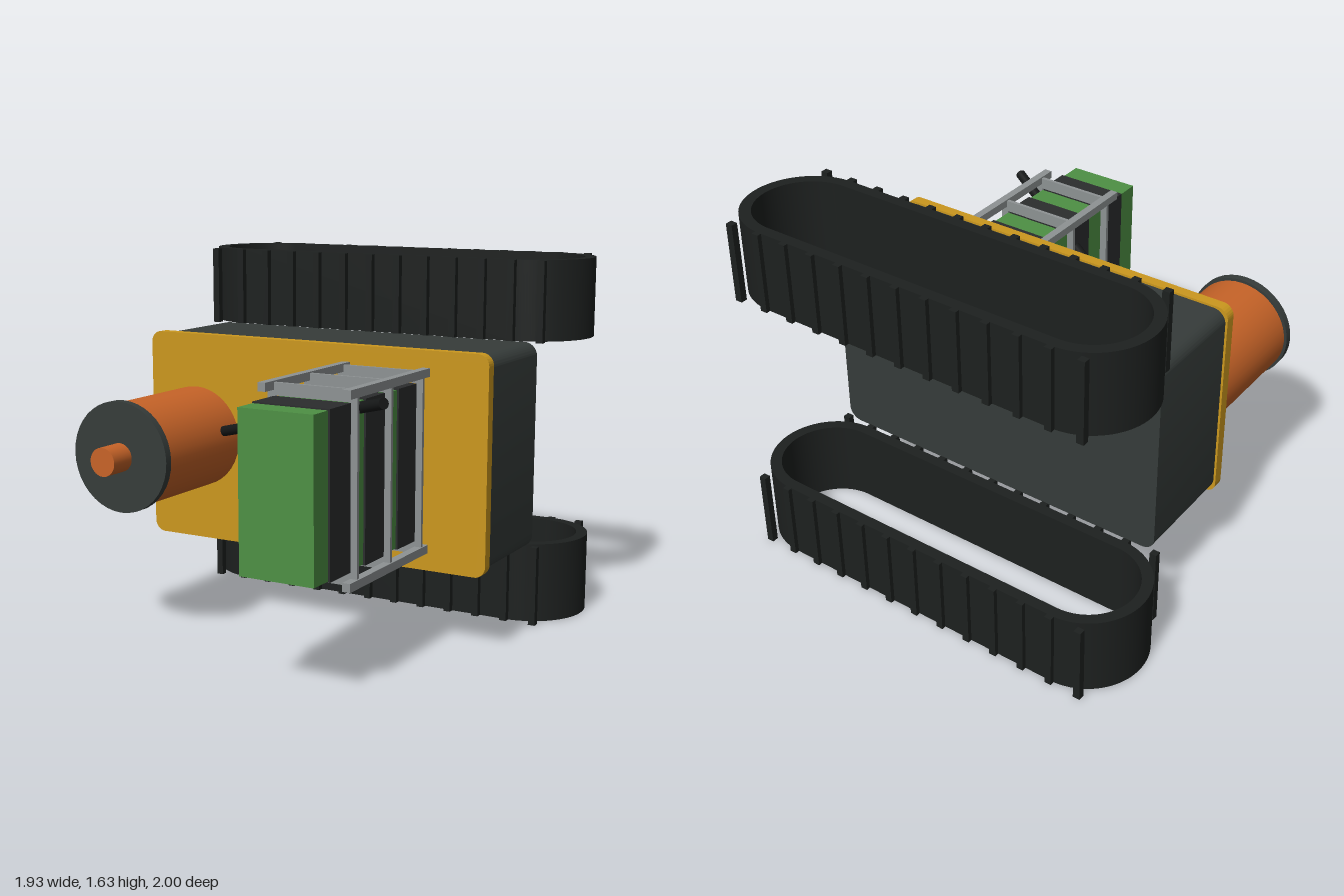
import * as THREE from 'three';
import { toCreasedNormals } from 'three/addons/utils/BufferGeometryUtils.js';

const mat = (color) => new THREE.MeshStandardMaterial({ color });
const tread = mat(0x1d201f), steel = mat(0x363c3a), yellow = mat(0xcc981e), orange = mat(0xc86428);
const green = mat(0x4e9044), dark = mat(0x2b2d2e), grey = mat(0x8e9394), black = mat(0x161818);

function add(parent, name, geometry, material, x = 0, y = 0, z = 0) {
  const mesh = new THREE.Mesh(geometry, material);
  mesh.name = name;
  mesh.position.set(x, y, z);
  parent.add(mesh);
  return mesh;
}

// Box given by its limits on each axis
function box(parent, name, material, [x0, x1], [y0, y1], [z0, z1]) {
  return add(parent, name, new THREE.BoxGeometry(x1 - x0, y1 - y0, z1 - z0), material,
    (x0 + x1) / 2, (y0 + y1) / 2, (z0 + z1) / 2);
}

// Rounded rectangle; with r equal to half the height it becomes a stadium
function roundedRect(w, h, r, Kind = THREE.Shape) {
  const x = w / 2 - r, y = h / 2 - r, s = new Kind();
  s.absarc(x, y, r, 0, Math.PI / 2);
  s.absarc(-x, y, r, Math.PI / 2, Math.PI);
  s.absarc(-x, -y, r, Math.PI, Math.PI * 1.5);
  s.absarc(x, -y, r, Math.PI * 1.5, Math.PI * 2);
  s.closePath();
  return s;
}

function extrude(shape, depth) {
  const g = new THREE.ExtrudeGeometry(shape, { depth, bevelEnabled: false, curveSegments: 16 });
  return toCreasedNormals(g, 0.6);
}

// Cylinder along z between two depths
function drum(parent, name, material, r, z0, z1, x, y) {
  const g = new THREE.CylinderGeometry(r, r, z1 - z0, 40).rotateX(Math.PI / 2);
  return add(parent, name, g, material, x, y, (z0 + z1) / 2);
}

// Hollow belt loop with cleats along both straight runs
function makeTrack(name, y0, height) {
  const track = new THREE.Group();
  track.name = name;
  const loop = roundedRect(1.93, 0.54, 0.27);
  loop.holes.push(roundedRect(1.83, 0.44, 0.22, THREE.Path));
  add(track, 'belt', extrude(loop, height).rotateX(-Math.PI / 2), tread, 0, y0, -0.71);
  for (const z of [-0.985, -0.427])
    for (let i = 0; i < 13; i++) {
      const x = -0.84 + i * 0.14;
      box(track, 'cleat', tread, [x - 0.016, x + 0.016], [y0, y0 + height], [z - 0.015, z + 0.015]);
    }
  return track;
}

// Open rack with corner rails, three frames and a stack of alternating blocks
function makeRack() {
  const rack = new THREE.Group();
  rack.name = 'rack';
  const left = 0.16, right = 0.575, bottom = 0.425, top = 1.215, t = 0.036;
  for (const x of [left, right - t])
    for (const y of [bottom, top - t])
      box(rack, 'rail', grey, [x, x + t], [y, y + t], [0.115, 0.795]);

  for (let i = 0; i < 3; i++) {
    const z = 0.155 + i * 0.28, depth = [z, z + 0.016];
    for (const x of [left + 0.006, right - 0.04])
      box(rack, 'frameUpright', grey, [x, x + 0.034], [bottom + 0.006, top - 0.006], depth);
    for (const y of [bottom + 0.006, top - 0.058])
      box(rack, 'frameBar', grey, [left + 0.006, right - 0.006], [y, y + 0.052], depth);
    box(rack, 'darkBlock', dark, [0.195, 0.54], [0.485, 1.155], [z + 0.014, z + 0.175]);
    box(rack, 'greenBlock', green, [0.2, 0.533], [0.49, 1.15], [z + 0.178, z + (i < 2 ? 0.28 : 0.285)]);
  }
  return rack;
}

export function createModel() {
  const model = new THREE.Group();
  model.name = 'trackedVehicle';

  // Hull and deck plate
  add(model, 'hull', extrude(roundedRect(1.66, 0.92, 0.06), 0.49), steel, 0, 0.818, -0.42);
  add(model, 'deckPlate', extrude(roundedRect(1.68, 0.94, 0.05), 0.047), yellow, 0, 0.818, 0.07);

  // Tracks on both sides
  model.add(makeTrack('lowerTrack', 0, 0.36), makeTrack('upperTrack', 1.276, 0.356));

  // Tank with lid and knob
  const tank = new THREE.Group();
  tank.name = 'tank';
  drum(tank, 'tankBody', orange, 0.228, 0.115, 0.655, -0.6, 0.82);
  drum(tank, 'tankLid', steel, 0.241, 0.655, 0.69, -0.6, 0.82);
  drum(tank, 'tankKnob', orange, 0.062, 0.69, 0.81, -0.6, 0.82);
  model.add(tank);

  // Slanted rod running from the tank through the rack
  const a = new THREE.Vector3(-0.42, 0.868, 0.205), b = new THREE.Vector3(0.695, 1.17, 0.757);
  const dir = b.clone().sub(a);
  const rod = add(model, 'rod', new THREE.CylinderGeometry(0.023, 0.023, dir.length(), 20), black);
  rod.position.copy(a).add(b).multiplyScalar(0.5);
  rod.quaternion.setFromUnitVectors(new THREE.Vector3(0, 1, 0), dir.normalize());

  model.add(makeRack());
  return model;
}
